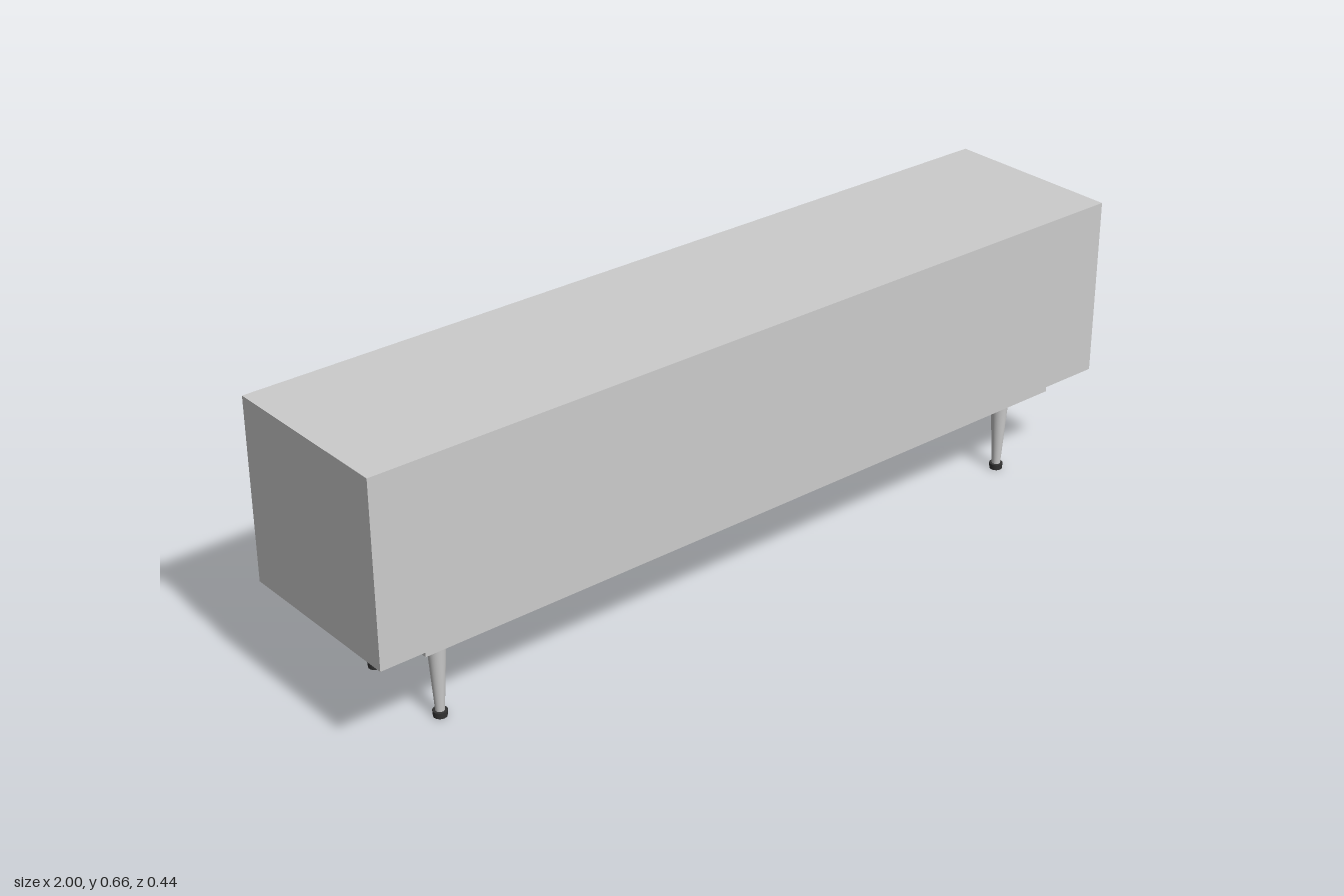
import * as THREE from 'three';

const grey = new THREE.MeshStandardMaterial({ color: 0xcccccc });
const dark = new THREE.MeshStandardMaterial({ color: 0x333333 });

// Cabinet extents and board thickness
const X = 1, Y0 = 0.237, Y1 = 0.66, Z = 0.218, T = 0.012;
const IN0 = Y0 + T, IN1 = Y1 - T;

function add(parent, name, geometry, material = grey) {
  const mesh = new THREE.Mesh(geometry, material);
  mesh.name = name;
  parent.add(mesh);
  return mesh;
}

// Box given by its limits on each axis
function board(parent, name, x0, x1, y0, y1, z0, z1) {
  const mesh = add(parent, name, new THREE.BoxGeometry(x1 - x0, y1 - y0, z1 - z0));
  mesh.position.set((x0 + x1) / 2, (y0 + y1) / 2, (z0 + z1) / 2);
  return mesh;
}

function rect(path, x0, x1, y0, y1) {
  path.moveTo(x0, y0);
  path.lineTo(x1, y0);
  path.lineTo(x1, y1);
  path.lineTo(x0, y1);
  path.closePath();
  return path;
}

// Slightly inset front with a recessed finger pull, closed by a body behind it
function pullFront(parent, name, x0, x1, y0, y1, pull) {
  const group = new THREE.Group();
  group.name = name;
  const shape = rect(new THREE.Shape(), x0, x1, y0, y1);
  shape.holes.push(rect(new THREE.Path(), ...pull));
  const geometry = new THREE.ExtrudeGeometry(shape, { depth: 0.011, bevelEnabled: false });
  add(group, name + 'Panel', geometry).position.z = -Z + 0.003;
  board(group, name + 'Body', x0, x1, y0, y1, -Z + 0.014, Z - T);
  parent.add(group);
}

function createLeg(x, z) {
  const leg = new THREE.Group();
  leg.name = 'leg';
  add(leg, 'foot', new THREE.CylinderGeometry(0.016, 0.015, 0.014, 24), dark).position.y = 0.007;
  add(leg, 'taperedShaft', new THREE.CylinderGeometry(0.022, 0.01, 0.186, 32)).position.y = 0.107;
  add(leg, 'collar', new THREE.CylinderGeometry(0.023, 0.027, 0.009, 32), dark).position.y = 0.2035;
  leg.position.set(x, 0, z);
  return leg;
}

export function createModel() {
  const model = new THREE.Group();
  model.name = 'sideboard';

  // Outer case, open towards -z
  const cabinet = new THREE.Group();
  cabinet.name = 'case';
  model.add(cabinet);
  board(cabinet, 'topBoard', -X, X, IN1, Y1, -Z, Z);
  board(cabinet, 'bottomBoard', -X, X, Y0, IN0, -Z, Z);
  board(cabinet, 'closedPanel', -X + T, X - T, IN0, IN1, Z - T, Z);
  for (const s of [-1, 1]) {
    const x = s * (X - T / 2);
    board(cabinet, 'endBoard', x - T / 2, x + T / 2, IN0, IN1, -Z, Z);
  }

  // Upright dividers between drawers, open bay, shelves and door
  const dividers = [0.33, -0.012, -0.338];
  for (const x of dividers)
    board(cabinet, 'divider', x - T / 2, x + T / 2, IN0, IN1, -Z, Z - T);

  // Two shelves in the narrow bay
  for (const k of [1, 2]) {
    const y = IN0 + (IN1 - IN0) * k / 3;
    board(cabinet, 'shelf', dividers[2] + T / 2, dividers[1] - T / 2, y - T / 2, y + T / 2, -Z + 0.003, Z - T);
  }

  // Three stacked drawers
  const gap = 0.003, h = (IN1 - IN0) / 3;
  const dx0 = dividers[0] + T / 2 + gap, dx1 = X - T - gap, dc = (dx0 + dx1) / 2;
  for (let i = 0; i < 3; i++) {
    const y0 = IN0 + i * h + gap, y1 = IN0 + (i + 1) * h - gap;
    pullFront(model, 'drawer', dx0, dx1, y0, y1, [dc - 0.036, dc + 0.036, y1 - 0.033, y1 - 0.005]);
  }

  // Door with an upright pull beside the shelves
  pullFront(model, 'door', -X + T + gap, dividers[2] - T / 2 - gap, IN0 + gap, IN1 - gap,
    [-0.386, -0.352, 0.4, 0.49]);

  // Base plate and legs
  board(model, 'basePlate', -0.88, 0.88, 0.208, 0.23, -0.185, 0.194);
  for (const x of [-0.805, 0.805])
    for (const z of [-0.117, 0.119]) model.add(createLeg(x, z));

  return model;
}
